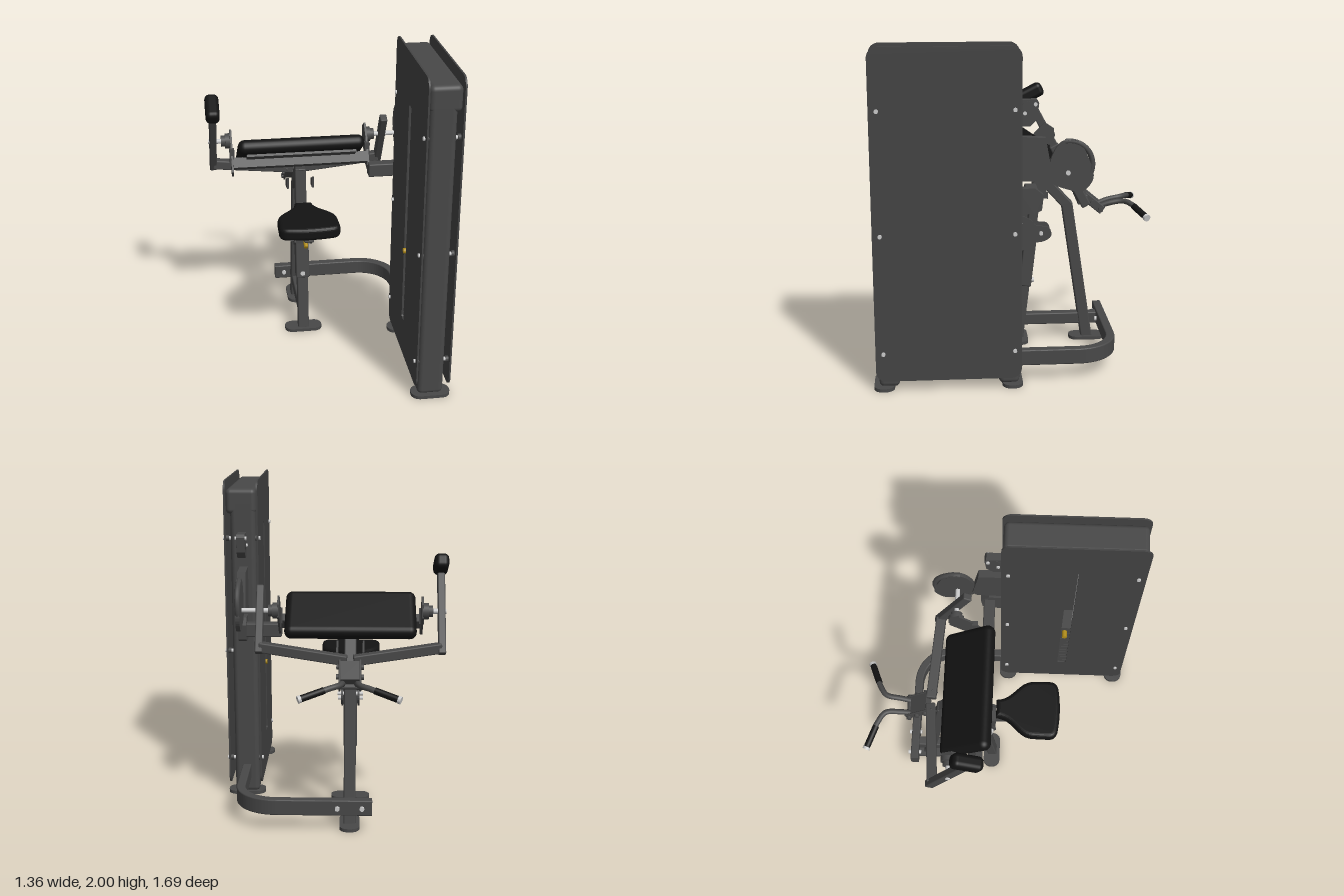
import * as THREE from 'three';
import { RoundedBoxGeometry } from 'three/addons/geometries/RoundedBoxGeometry.js';

const mat = (color) => new THREE.MeshStandardMaterial({ color });
const STEEL = mat(0x484848), PANEL = mat(0x444444), PAD = mat(0x131313), METAL = mat(0xcccccc), YELLOW = mat(0xb08c18);
const V = (x, y, z) => new THREE.Vector3(x, y, z);
const CX = -0.106; // centre line of the bench

export function createModel() {
  const root = new THREE.Group();
  root.name = 'armCurlMachine';
  const add = (name, geo, m, x = 0, y = 0, z = 0, rx = 0) => {
    const mesh = new THREE.Mesh(geo, m);
    mesh.name = name;
    mesh.position.set(x, y, z);
    mesh.rotation.x = rx;
    root.add(mesh);
    return mesh;
  };
  const box = (name, w, h, d, x, y, z, m = STEEL, rx = 0) => add(name, new THREE.BoxGeometry(w, h, d), m, x, y, z, rx);
  const soft = (name, w, h, d, r, x, y, z, m, rx = 0) => add(name, new RoundedBoxGeometry(w, h, d, 4, r), m, x, y, z, rx);
  // rectangular bar between two points
  const bar = (name, a, b, w, h, m = STEEL) => {
    const p = a.clone().lerp(b, 0.5);
    const mesh = add(name, new RoundedBoxGeometry(w, h, a.distanceTo(b), 2, 0.008), m, p.x, p.y, p.z);
    mesh.lookAt(b);
    return mesh;
  };
  // round rod between two points
  const rod = (name, a, b, r, m = STEEL, sides = 20) => {
    const p = a.clone().lerp(b, 0.5);
    const mesh = add(name, new THREE.CylinderGeometry(r, r, a.distanceTo(b), sides), m, p.x, p.y, p.z);
    mesh.quaternion.setFromUnitVectors(V(0, 1, 0), b.clone().sub(a).normalize());
    return mesh;
  };
  const rodX = (name, x0, x1, y, z, r, m = STEEL, sides = 20) => rod(name, V(x0, y, z), V(x1, y, z), r, m, sides);
  // plate standing in the side plane, centred on x
  const plate = (name, shape, x, t, m = STEEL) => {
    const geo = new THREE.ExtrudeGeometry(shape, { depth: t, bevelEnabled: false, curveSegments: 12 });
    const mesh = add(name, geo, m, x + t / 2);
    mesh.rotation.y = -Math.PI / 2;
    return mesh;
  };
  const poly = (pts) => new THREE.Shape(pts.map(([a, b]) => new THREE.Vector2(a, b)));
  const smoothPoly = (pts) => poly(new THREE.CatmullRomCurve3(pts.map(([a, b]) => V(a, b, 0)), true)
    .getPoints(48).slice(0, -1).map((p) => [p.x, p.y]));
  const roundRect = (x0, y0, x1, y1, r, S = THREE.Shape) => {
    const s = new S(), q = Math.PI / 2;
    s.absarc(x1 - r, y1 - r, r, 0, q);
    s.absarc(x0 + r, y1 - r, r, q, 2 * q);
    s.absarc(x0 + r, y0 + r, r, 2 * q, 3 * q);
    s.absarc(x1 - r, y0 + r, r, 3 * q, 4 * q);
    s.closePath();
    return s;
  };
  const foot = (x, z, w, d) => {
    const geo = new THREE.ExtrudeGeometry(roundRect(-w / 2, -d / 2, w / 2, d / 2, Math.min(w, d) * 0.45), { depth: 0.02, bevelEnabled: false });
    add('footPad', geo, STEEL, x, 0.02, z, Math.PI / 2);
  };

  // weight tower: side panels, the inner one slotted
  const inner = roundRect(-0.02, 0.065, 0.825, 2, 0.06);
  inner.holes.push(roundRect(0.37, 0.3, 0.43, 1.7, 0.015, THREE.Path));
  plate('innerSidePanel', inner, 0.465, 0.01, PANEL);
  plate('outerSidePanel', roundRect(-0.02, 0.065, 0.825, 2, 0.06), 0.663, 0.01, PANEL);
  for (const z of [0.75, 0.05]) {
    soft('towerColumn', 0.155, 1.88, 0.12, 0.03, 0.553, 0.95, z, STEEL);
    foot(0.557, z + (z > 0.4 ? 0.03 : -0.02), 0.235, 0.12);
  }
  soft('towerTopCover', 0.185, 0.155, 0.82, 0.03, 0.564, 1.875, 0.4, STEEL);
  box('towerBottomRail', 0.15, 0.06, 0.7, 0.553, 0.08, 0.4);
  for (let i = 0; i < 14; i++) box('weightPlate', 0.13, 0.042, 0.26, 0.56, 0.2 + i * 0.046, 0.4);
  for (const z of [0.35, 0.45]) rod('guideRod', V(0.56, 0.1, z), V(0.56, 1.85, z), 0.012, METAL);
  rodX('selectorPin', 0.45, 0.5, 0.77, 0.395, 0.016, YELLOW);
  for (const y of [0.235, 0.94, 1.65]) for (const z of [0.78, 0.02]) {
    rodX('panelBolt', 0.45, 0.678, y, z, 0.012, METAL, 12);
    for (const x of [0.478, 0.65]) rodX('panelSpacer', x - 0.01, x + 0.01, y, z, 0.018);
  }

  // upper pulley, cam support and cross support on the tower back
  plate('pulleyBracket', poly([[0, 1.69], [-0.11, 1.69], [-0.12, 1.67], [-0.11, 1.58], [-0.07, 1.54], [0, 1.54]]), 0.557, 0.05);
  rodX('upperPulley', 0.53, 0.585, 1.635, -0.06, 0.045);
  for (const [y, z] of [[1.665, -0.1], [1.615, -0.04]]) rodX('pulleyBolt', 0.522, 0.592, y, z, 0.011, METAL, 12);
  plate('camSupport', poly([[0, 1.48], [-0.16, 1.47], [-0.2, 1.25], [-0.17, 1.225], [0, 1.22]]), 0.55, 0.05);
  plate('crossBracket', poly([[0, 1.18], [-0.1, 1.18], [-0.15, 1.14], [-0.14, 1.05], [-0.1, 1.03], [0, 1.03]]), 0.555, 0.05);
  bar('crossTube', V(0.315, 1.105, -0.095), V(0.56, 1.105, -0.095), 0.07, 0.085);

  // cam with its raised rim
  plate('camPlate', smoothPoly([[-0.19, 1.34], [-0.25, 1.44], [-0.34, 1.45], [-0.41, 1.34], [-0.435, 1.23],
    [-0.375, 1.155], [-0.295, 1.165], [-0.19, 1.215]]), 0.55, 0.025);
  const rim = add('camRim', new THREE.TorusGeometry(0.135, 0.016, 8, 32, 2.1), STEEL, 0.55, 1.31, -0.295);
  rim.rotation.set(0, -Math.PI / 2, 1.4, 'YXZ');
  rodX('camShaft', 0.32, 0.57, 1.265, -0.29, 0.014, METAL);

  // curved base tube
  const path = new THREE.CurvePath();
  path.add(new THREE.LineCurve3(V(0.555, 0.15, 0), V(0.555, 0.15, -0.36)));
  path.add(new THREE.CubicBezierCurve3(V(0.555, 0.15, -0.36), V(0.555, 0.15, -0.49), V(0.455, 0.15, -0.59), V(0.32, 0.15, -0.59)));
  path.add(new THREE.LineCurve3(V(0.32, 0.15, -0.59), V(-0.24, 0.15, -0.59)));
  add('curvedBaseTube', new THREE.ExtrudeGeometry(roundRect(-0.048, -0.027, 0.048, 0.027, 0.008), { steps: 70, extrudePath: path, curveSegments: 3 }), STEEL);
  for (const x of [-0.18, -0.035]) rod('baseBolt', V(x, 0.15, -0.635), V(x, 0.15, -0.55), 0.014, METAL, 12);

  // bench frame
  foot(CX, -0.065, 0.24, 0.11);
  foot(CX, -0.505, 0.12, 0.23);
  bar('frontPost', V(CX, 0.01, -0.06), V(CX, 1.17, -0.19), 0.07, 0.06);
  bar('frontPostSleeve', V(CX, 0.37, -0.1), V(CX, 0.75, -0.143), 0.085, 0.078);
  bar('rearPost', V(CX, 0.01, -0.505), V(CX, 0.92, -0.365), 0.07, 0.07);
  bar('rearPostTop', V(CX, 0.895, -0.375), V(CX, 1.12, -0.17), 0.07, 0.065);
  bar('lowerBeam', V(CX, 0.14, -0.07), V(CX, 0.14, -0.57), 0.06, 0.075);
  rod('sleeveKnob', V(CX, 0.405, -0.06), V(CX, 0.4, -0.16), 0.015, METAL);

  // seat with its adjuster
  const seat = new THREE.Shape();
  seat.moveTo(-0.055, -0.03);
  seat.bezierCurveTo(-0.06, 0.08, -0.18, 0.1, -0.183, 0.2);
  seat.lineTo(-0.185, 0.3);
  seat.quadraticCurveTo(-0.185, 0.35, -0.13, 0.358);
  seat.quadraticCurveTo(0, 0.378, 0.13, 0.358);
  seat.quadraticCurveTo(0.185, 0.35, 0.185, 0.3);
  seat.lineTo(0.183, 0.2);
  seat.bezierCurveTo(0.18, 0.1, 0.06, 0.08, 0.055, -0.03);
  add('seatPad', new THREE.ExtrudeGeometry(seat, { depth: 0.03, bevelSize: 0.025, bevelOffset: -0.025, bevelThickness: 0.025, bevelSegments: 5 }),
    PAD, CX, 0.912, 0, Math.PI / 2);
  box('seatPlate', 0.2, 0.025, 0.2, CX, 0.848, 0.19);
  bar('seatArm', V(CX, 0.74, -0.1), V(CX, 0.825, 0.27), 0.06, 0.05);
  for (const s of [-1, 1]) plate('seatCheekPlate', smoothPoly([[-0.03, 0.8], [-0.07, 0.84], [-0.13, 0.82], [-0.17, 0.78], [-0.25, 0.765],
    [-0.265, 0.71], [-0.22, 0.675], [-0.13, 0.66], [-0.08, 0.615], [-0.03, 0.65], [-0.06, 0.72]]), CX + s * 0.051, 0.012);
  for (const [y, z] of [[0.8, -0.07], [0.73, -0.2], [0.66, -0.06]]) rodX('cheekBolt', CX - 0.078, CX + 0.078, y, z, 0.012, METAL, 12);
  box('seatCarriage', 0.09, 0.16, 0.05, CX, 0.72, -0.06);
  rod('adjustLever', V(CX, 0.75, 0.02), V(CX, 0.69, 0.12), 0.013, YELLOW);

  // sloping arm pad with mount
  const tilt = -0.61;
  soft('armPad', 0.785, 0.09, 0.35, 0.042, CX, 1.22, -0.2, PAD, tilt);
  box('padBackingPlate', 0.68, 0.015, 0.25, CX, 1.177, -0.17, STEEL, tilt);
  box('padMountBeam', 0.84, 0.065, 0.06, CX, 1.17, -0.14, STEEL, tilt);
  for (const s of [-1, 1]) {
    const x = CX + s * 0.426;
    plate('padSidePlate', poly([[-0.1, 1.13], [-0.13, 1.09], [-0.19, 1.1], [-0.33, 1.23], [-0.33, 1.31], [-0.27, 1.35], [-0.2, 1.28]]), x, 0.012);
    rodX('pivotBearing', x, x + s * 0.035, 1.265, -0.29, 0.048);
    rodX('pivotHub', x + s * 0.035, x + s * 0.06, 1.265, -0.29, 0.035);
    rodX('pivotPin', x, x + s * 0.14, 1.265, -0.29, 0.015, METAL);
    box('padStop', 0.03, 0.09, 0.035, x, 1.21, -0.175);
  }
  for (const x of [-0.43, CX, 0.21]) rod('padBolt', V(x, 1.225, -0.11), V(x, 1.24, -0.09), 0.01, METAL, 12);

  // swinging arms, right one carried to the cam side
  for (const s of [-1, 1]) {
    const x = CX + s * 0.537, h = s < 0 ? 1.47 : 1.4;
    bar('swingCrossArm', V(CX + s * 0.02, 1.0, -0.435), V(x, 1.07, -0.395), 0.06, 0.06);
    bar('swingUpright', V(x, 1.035, -0.415), V(x, h, -0.29 + (h - 1.265) * 0.53), 0.045, 0.055);
    plate('swingGusset', poly([[-0.15, 1.05], [-0.24, 1.0], [-0.24, 0.96], [-0.16, 0.97]]), CX + s * 0.08, 0.012);
  }
  soft('rollerPad', 0.086, 0.092, 0.19, 0.03, -0.643, 1.525, -0.175, PAD, 0.47);

  // handle carrier and flared handles
  for (const s of [-1, 1]) {
    bar('handleCarrier', V(CX + s * 0.06, 1.02, -0.41), V(CX + s * 0.06, 0.87, -0.59), 0.012, 0.055);
    const pts = [V(CX + s * 0.04, 0.885, -0.55), V(CX + s * 0.045, 0.915, -0.63), V(CX + s * 0.058, 0.93, -0.72),
      V(CX + s * 0.12, 0.922, -0.765), V(CX + s * 0.27, 0.882, -0.825)];
    add('handleTube', new THREE.TubeGeometry(new THREE.CatmullRomCurve3(pts), 32, 0.017, 12), STEEL);
    const end = pts[4], mid = pts[3].clone().lerp(end, 0.15);
    rod('handleGrip', mid, end, 0.02, PAD);
    rod('handleEndCap', end, end.clone().add(end.clone().sub(mid).setLength(0.018)), 0.022, METAL);
  }
  for (const [y, z] of [[0.97, -0.47], [0.925, -0.525], [0.88, -0.575]]) rodX('carrierCrossPin', CX - 0.08, CX + 0.08, y, z, 0.016);
  box('carrierBlock', 0.11, 0.05, 0.13, CX, 0.945, -0.5, STEEL, -0.7);
  return root;
}
